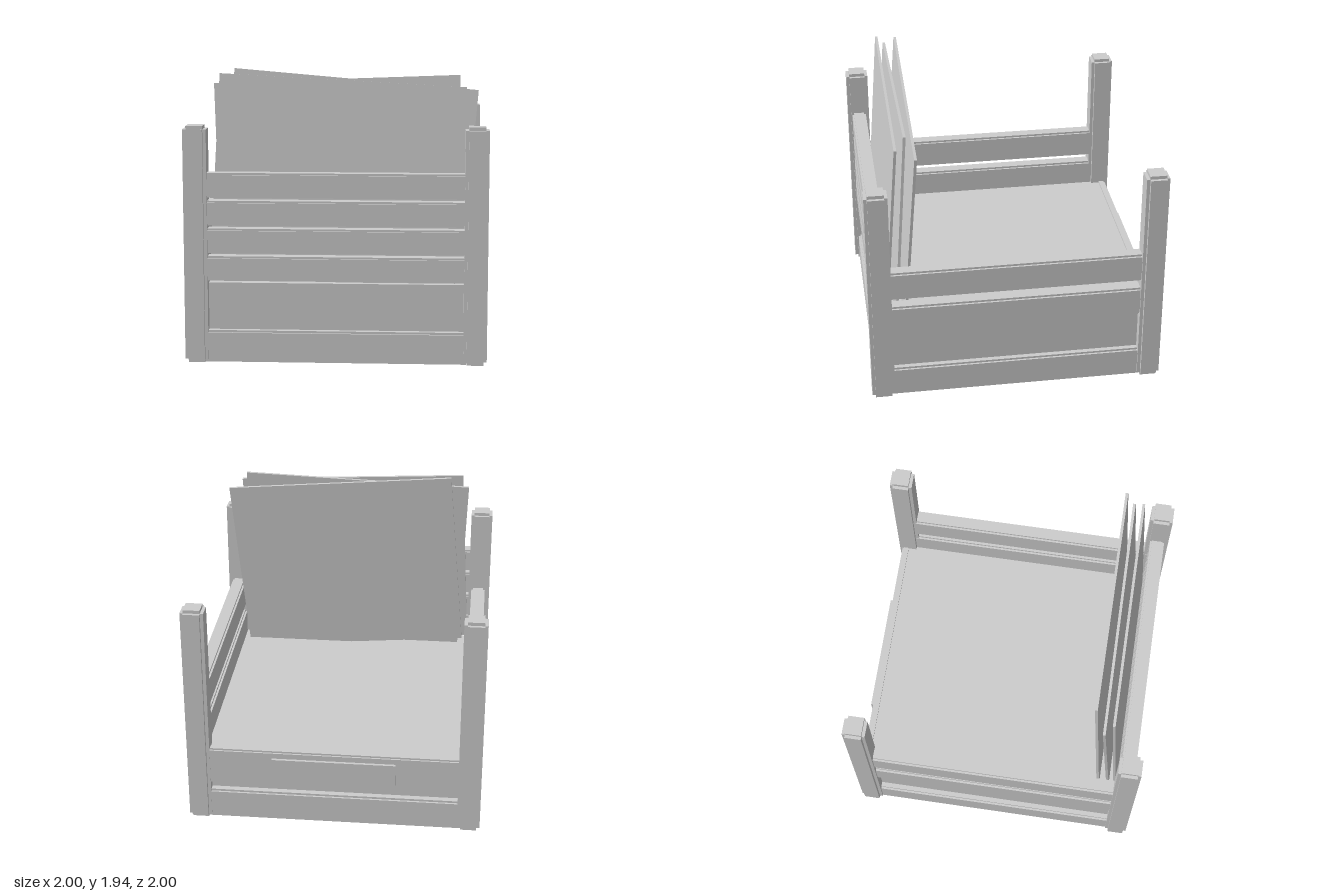
import * as THREE from 'three';

export function createModel() {
  const model = new THREE.Group();
  model.name = 'crate';
  const grey = new THREE.MeshStandardMaterial({ color: 0xcccccc });
  grey.name = 'plain grey';

  // Plain box given by its lower and upper corners
  function box(name, a, b, parent = model) {
    const size = b.map((v, i) => v - a[i]);
    const mesh = new THREE.Mesh(new THREE.BoxGeometry(...size), grey);
    mesh.position.set(...a.map((v, i) => (v + b[i]) / 2));
    mesh.name = name;
    parent.add(mesh);
    return mesh;
  }

  // Box with stepped edges: each slab is full size along one axis only
  function steppedBox(name, a, b, step) {
    const group = new THREE.Group();
    group.name = name;
    for (let axis = 0; axis < 3; axis++) {
      const lo = a.map((v, i) => (i === axis ? v : v + step));
      const hi = b.map((v, i) => (i === axis ? v : v - step));
      box(name + 'Slab', lo, hi, group);
    }
    model.add(group);
  }

  // Solid base, its top is the floor and its sides the recessed panels
  box('base', [-0.92, 0, -0.92], [0.92, 0.53, 0.92]);

  // Corner posts
  for (const x of [-1, 1]) {
    for (const z of [-1, 1]) {
      const cx = x * 0.9225, cz = z * 0.9225, h = 0.0775;
      steppedBox('post', [cx - h, 0, cz - h], [cx + h, 1.58, cz + h], 0.022);
    }
  }

  // Side rails
  for (const s of [-1, 1]) {
    const [x0, x1] = s > 0 ? [0.865, 0.967] : [-0.967, -0.865];
    for (const [y0, y1] of [[0, 0.215], [0.505, 0.71], [0.77, 0.975]]) {
      steppedBox('sideRail', [x0, y0, -0.88], [x1, y1, 0.88], 0.014);
    }
  }

  // Front bottom rail and four slats
  steppedBox('frontBottomRail', [-0.88, 0, 0.87], [0.88, 0.215, 0.97], 0.014);
  for (let i = 0; i < 4; i++) {
    const top = 1.27 - 0.185 * i;
    steppedBox('frontSlat', [-0.88, top - 0.165, 0.87], [0.88, top, 0.97], 0.013);
  }

  // Back bottom rail, board and raised plate
  steppedBox('backBottomRail', [-0.88, 0, -0.975], [0.88, 0.215, -0.87], 0.014);
  steppedBox('backBoard', [-0.88, 0.275, -0.975], [0.88, 0.54, -0.915], 0.012);
  box('backPlate', [-0.42, 0.325, -0.995], [0.42, 0.49, -0.97]);

  // Leaning sheets: middle of the top edge, and roll in degrees
  const sheets = [
    [0.04, 1.867, 0.775, -3],
    [-0.005, 1.87, 0.715, 2.1],
    [0.122, 1.865, 0.65, -4.9],
  ];
  for (const [x, y, z, roll] of sheets) {
    const sheet = new THREE.Group();
    sheet.name = 'sheet';
    sheet.position.set(x, y, z);
    sheet.rotation.set(THREE.MathUtils.degToRad(-4), 0, THREE.MathUtils.degToRad(roll));
    box('sheetBoard', [-0.816, -1.34, -0.009], [0.816, 0, 0.009], sheet);
    model.add(sheet);
  }

  return model;
}
